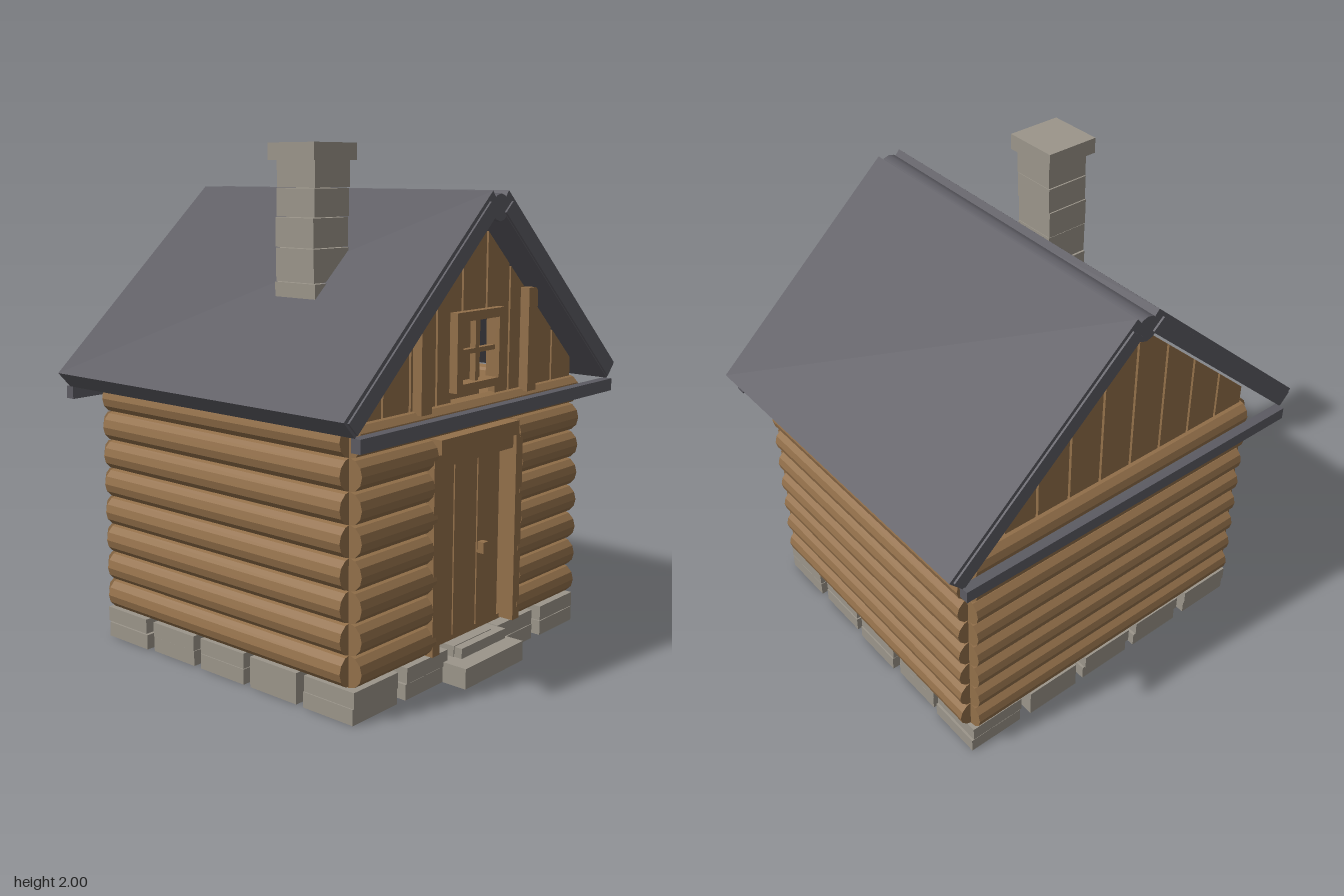
import * as THREE from 'three';

const mat = (name, color) => {
  const m = new THREE.MeshStandardMaterial({ color });
  m.name = name;
  return m;
};

export function createModel() {
  const wood = mat('wood', 0x93704a);
  const slate = mat('slate', 0x5c5b62);
  const stone = mat('stone', 0x9b958a);
  wood.flatShading = true;
  const model = new THREE.Group();
  model.name = 'logCabin';

  const group = (name) => {
    const g = new THREE.Group();
    g.name = name;
    model.add(g);
    return g;
  };
  const add = (parent, name, geometry, material) => {
    const m = new THREE.Mesh(geometry, material);
    m.name = name;
    parent.add(m);
    return m;
  };
  // Box given by its minimum and maximum on each axis
  const box = (parent, name, material, x0, x1, y0, y1, z0, z1) => {
    const m = add(parent, name, new THREE.BoxGeometry(x1 - x0, y1 - y0, z1 - z0), material);
    m.position.set((x0 + x1) / 2, (y0 + y1) / 2, (z0 + z1) / 2);
    return m;
  };
  // Outline in x and y, extruded from z0 to z1
  const plate = (parent, name, material, points, z0, z1) => {
    const shape = new THREE.Shape(points.map(([x, y]) => new THREE.Vector2(x, y)));
    const g = new THREE.ExtrudeGeometry(shape, { depth: z1 - z0, bevelEnabled: false });
    g.translate(0, 0, z0);
    return add(parent, name, g, material);
  };
  let seed = 7;
  const jitter = (a) => {
    seed = (seed * 16807) % 2147483647;
    return (seed / 2147483647 - 0.5) * 2 * a;
  };

  // Foundation: five by five piers of two stones each
  const foundation = group('foundation');
  for (let i = -2; i <= 2; i++) {
    for (let j = -2; j <= 2; j++) {
      for (let k = 0; k < 2; k++) {
        const x = i * 0.292 + jitter(0.006), z = j * 0.274 + jitter(0.006);
        box(foundation, 'pierStone', stone, x - 0.122, x + 0.122, k * 0.063, k * 0.063 + 0.06, z - 0.118, z + 0.118);
      }
    }
  }
  box(foundation, 'frontStep', stone, -0.19, 0.19, 0, 0.08, 0.64, 0.77);
  box(foundation, 'upperStep', stone, -0.12, 0.17, 0.08, 0.12, 0.58, 0.7);
  box(foundation, 'sideStepStone', stone, 0.18, 0.225, 0, 0.055, 0.64, 0.72);

  // Log walls
  const walls = group('logWalls');
  const R = 0.061;
  const log = (name, a, b, y, offset, alongX) => {
    const g = new THREE.CylinderGeometry(R, R, b - a, 12);
    const mid = (a + b) / 2;
    if (alongX) g.rotateZ(Math.PI / 2).translate(mid, y, offset);
    else g.rotateX(Math.PI / 2).translate(offset, y, mid);
    add(walls, name, g, wood);
  };
  for (let i = 0; i < 8; i++) {
    const y = 0.189 + i * 0.1168;
    for (const s of [-1, 1]) log('sideLog', -0.63, 0.63, y, s * 0.677, false);
    log('backLog', -0.69, 0.69, y, -0.628, true);
    if (i === 7) {
      log('frontTopLog', -0.69, 0.69, y, 0.628, true);
    } else {
      const inner = 0.265 + (i % 2) * 0.02;
      log('frontLog', -0.69, -inner, y, 0.628, true);
      log('frontLog', inner, 0.69, y, 0.628, true);
    }
  }
  box(walls, 'floor', wood, -0.67, 0.67, 0.125, 0.145, -0.62, 0.62);
  box(walls, 'loftFloor', wood, -0.66, 0.66, 1.03, 1.048, -0.62, 0.62);

  // Door with frame, battens and handle
  const door = group('door');
  for (const s of [-1, 1]) {
    box(door, 'doorPost', wood, s * 0.262 - 0.022, s * 0.262 + 0.022, 0.13, 0.89, 0.57, 0.685);
  }
  box(door, 'doorLintel', wood, -0.25, 0.25, 0.89, 0.945, 0.57, 0.69);
  box(door, 'doorHeader', wood, -0.24, 0.24, 0.835, 0.89, 0.58, 0.67);
  for (let i = -1; i <= 1; i++) {
    box(door, 'doorPlank', wood, i * 0.15 - 0.071, i * 0.15 + 0.071, 0.14, 0.83, 0.595, 0.62);
  }
  for (const y of [0.17, 0.74]) box(door, 'doorBatten', wood, -0.21, 0.21, y - 0.025, y + 0.025, 0.575, 0.595);
  box(door, 'doorHandle', wood, 0.082, 0.113, 0.435, 0.48, 0.62, 0.65);

  // Gable planks, cut along the roof slope
  const gables = group('gables');
  const top = (x) => 1.752 - 0.9 * Math.abs(x);
  for (const s of [-1, 1]) {
    const z0 = s > 0 ? 0.615 : -0.645, z1 = z0 + 0.03;
    for (let i = -4; i <= 4; i++) {
      const a = i * 0.1525 - 0.0705, b = i * 0.1525 + 0.0705;
      let points = [[a, 1.05], [b, 1.05], [b, top(b)], [a, top(a)]];
      if (i === 0) points = [[a, s > 0 ? 1.38 : 1.05], [b, s > 0 ? 1.38 : 1.05], [b, 1.69], [a, 1.69]];
      else if (s > 0 && i === 1) {
        points = [[0.14, 1.05], [b, 1.05], [b, top(b)], [a, top(a)], [a, 1.38], [0.14, 1.38]];
      } else if (s > 0 && i === -1) {
        points = [[a, 1.05], [-0.14, 1.05], [-0.14, 1.38], [b, 1.38], [b, top(b)], [a, top(a)]];
      }
      plate(gables, 'gablePlank', wood, points, z0, z1);
    }
    // Upright posts beside the window
    box(gables, 'gablePost', wood, s * 0.335 - 0.03, s * 0.335 + 0.03, 1.05, 1.455, 0.645, 0.685);
  }

  // Loft window
  const win = group('loftWindow');
  const frame = new THREE.Shape([[-0.15, 1.1], [0.15, 1.1], [0.15, 1.395], [-0.15, 1.395]].map(([x, y]) => new THREE.Vector2(x, y)));
  frame.holes.push(new THREE.Path([[-0.115, 1.13], [-0.115, 1.36], [0.115, 1.36], [0.115, 1.13]].map(([x, y]) => new THREE.Vector2(x, y))));
  const frameGeo = new THREE.ExtrudeGeometry(frame, { depth: 0.06, bevelEnabled: false });
  add(win, 'windowFrame', frameGeo.translate(0, 0, 0.62), wood);
  box(win, 'windowUpright', wood, -0.01, 0.01, 1.13, 1.36, 0.635, 0.66);
  box(win, 'windowCrossbar', wood, -0.115, 0.115, 1.235, 1.253, 0.635, 0.66);
  box(win, 'windowBacking', wood, -0.145, 0.145, 1.05, 1.39, 0.56, 0.57);

  // Roof slopes, gable trim, ridge and tie beams
  const roof = group('roof');
  for (const s of [-1, 1]) {
    const slope = [[0.855, 1.11], [0.05, 1.83], [0, 1.77], [0.8, 1.05]].map(([x, y]) => [s * x, y]);
    plate(roof, 'roofSlope', slate, slope, -0.752, 0.752);
    const trim = [[0.838, 1.105], [0.07, 1.792], [0.025, 1.752], [0.795, 1.06]].map(([x, y]) => [s * x, y]);
    plate(roof, 'gableTrim', slate, trim, 0.75, 0.76);
    plate(roof, 'gableTrim', slate, trim, -0.76, -0.75);
    box(roof, 'tieBeam', slate, -0.8, 0.8, 1.0, 1.05, s * 0.755 - 0.02, s * 0.755 + 0.02);
  }
  const ridge = new THREE.CylinderGeometry(0.05, 0.05, 1.504, 12).rotateX(Math.PI / 2);
  add(roof, 'ridgePole', ridge, slate).position.y = 1.77;

  // Chimney of stacked blocks with a cap
  const chimney = group('chimney');
  const courses = [1.34, 1.5, 1.625, 1.735, 1.84, 1.94];
  for (let i = 0; i < 5; i++) {
    const dx = jitter(0.004), dz = jitter(0.004), w = i === 0 ? 0.1 : 0.094;
    box(chimney, 'chimneyBlock', stone, -0.385 + dx - w, -0.385 + dx + w, courses[i], courses[i + 1] - 0.003, 0.19 + dz - w, 0.19 + dz + w);
  }
  box(chimney, 'chimneyCap', stone, -0.5, -0.27, 1.937, 2.0, 0.072, 0.302);

  return model;
}
